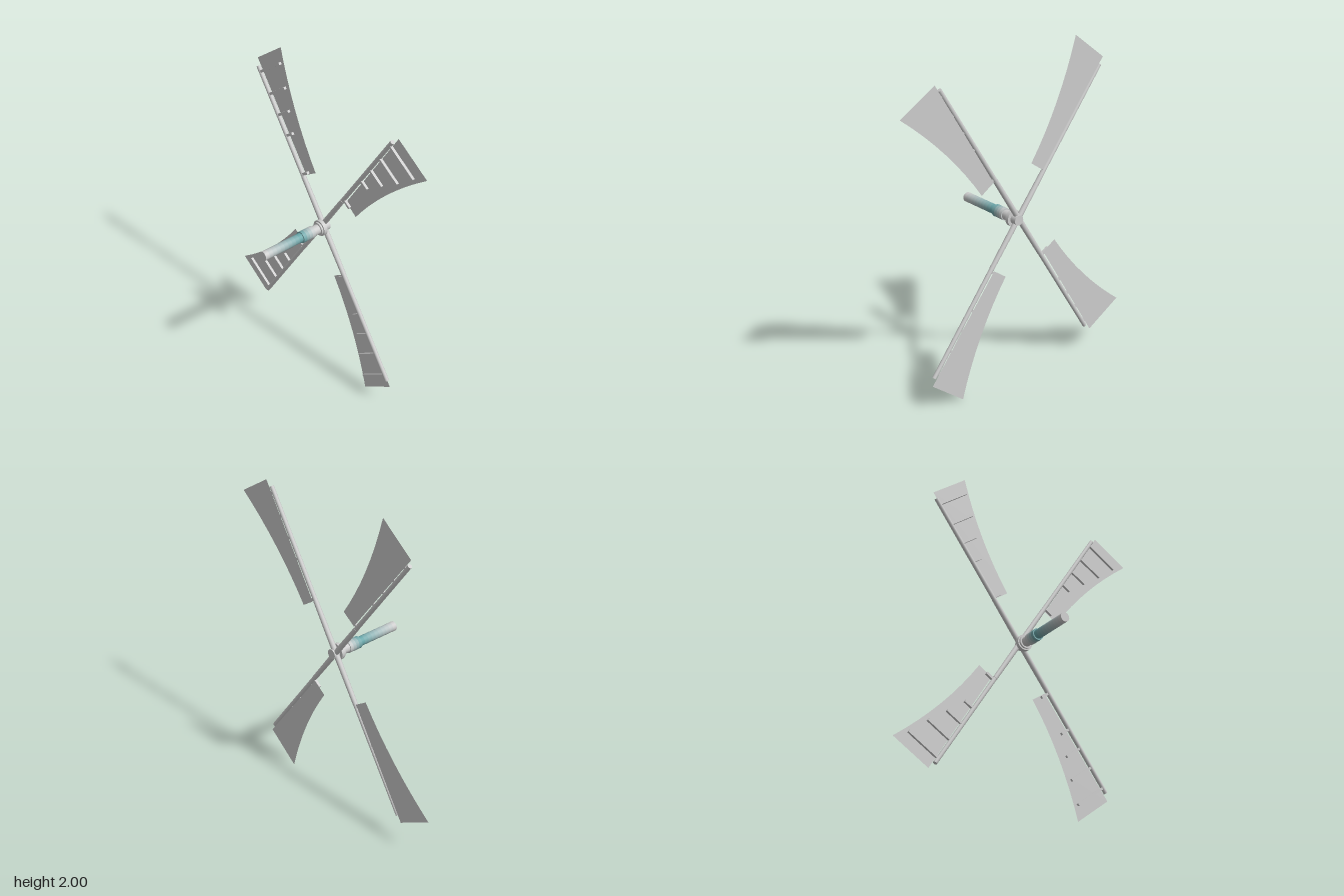
import * as THREE from 'three';

const grey = new THREE.MeshStandardMaterial({ color: 0xcccccc });
const thin = new THREE.MeshStandardMaterial({ color: 0xcccccc, side: THREE.DoubleSide });
const ARM_Z = -0.217;

function add(parent, name, geometry, material = grey) {
  const mesh = new THREE.Mesh(geometry, material);
  mesh.name = name;
  parent.add(mesh);
  return mesh;
}

// Cylinder lying along z, from zBack to zFront
function axial(parent, name, radius, zBack, zFront, material = grey, open = false) {
  const geo = new THREE.CylinderGeometry(radius, radius, zFront - zBack, 20, 1, open);
  geo.rotateX(Math.PI / 2).translate(0, 0, (zBack + zFront) / 2);
  return add(parent, name, geo, material);
}

// One arm along local +y, with its sail on the +x side
function makeBlade() {
  const blade = new THREE.Group();
  blade.name = 'blade';

  add(blade, 'armInner', new THREE.CylinderGeometry(0.0145, 0.0165, 0.31, 12).translate(0, 0.155, 0));
  add(blade, 'armOuter', new THREE.CylinderGeometry(0.0125, 0.0135, 0.69, 12).translate(0, 0.65, 0));

  // Flat sail with a concave free edge
  const outline = new THREE.Shape();
  outline.moveTo(0.018, 0.314);
  outline.lineTo(0.118, 0.31);
  outline.quadraticCurveTo(0.135, 0.675, 0.274, 1.04);
  outline.lineTo(0.012, 1.04);
  add(blade, 'sail', new THREE.ShapeGeometry(outline, 8), thin).position.z = -0.009;

  // Cross bars: distance along the arm, reach
  const bars = [[0.325, 0.06], [0.566, 0.067], [0.693, 0.118], [0.822, 0.173], [0.959, 0.221]];
  for (const [y, reach] of bars) {
    add(blade, 'crossBar', new THREE.BoxGeometry(reach, 0.015, 0.016).translate(reach / 2, y, 0.001));
  }
  return blade;
}

export function createModel() {
  const model = new THREE.Group();
  model.name = 'windmillSails';

  // Two crossing beams, each a pair of opposite blades
  for (const [x, y, degrees] of [[-0.004, 1.016, 57.6], [0.002, 1.004, 126.7]]) {
    for (const turn of [0, 180]) {
      const blade = makeBlade();
      blade.position.set(x, y, ARM_Z);
      blade.rotation.z = THREE.MathUtils.degToRad(degrees + turn - 90);
      model.add(blade);
    }
  }

  // Hub and stepped axle
  const axle = new THREE.Group();
  axle.name = 'axle';
  axle.position.set(0.007, 1.009, 0);
  model.add(axle);
  axial(axle, 'hub', 0.03, -0.239, -0.195);
  axial(axle, 'flange', 0.049, -0.199, -0.176);
  axial(axle, 'flangeStep', 0.04, -0.176, -0.165);
  axial(axle, 'neck', 0.03, -0.165, -0.12);

  // Colour fades from grey to teal around the collar's front and back to grey
  const pale = new THREE.Color(0xcccccc);
  const teal = new THREE.Color(0x5fa3a6);
  const tinted = (t) => new THREE.MeshStandardMaterial({ color: pale.clone().lerp(teal, t) });
  const collarSteps = 4;
  for (let i = 0; i < collarSteps; i++) {
    const z = -0.123 + (0.085 * i) / collarSteps;
    axial(axle, 'collar', 0.036, z, z + 0.085 / collarSteps, tinted((i + 0.5) / collarSteps));
  }
  const shaftSteps = 10;
  for (let i = 0; i < shaftSteps; i++) {
    const z = -0.038 + (0.273 * i) / shaftSteps;
    axial(axle, 'shaft', 0.0285, z, z + 0.273 / shaftSteps, tinted(1 - (i + 0.5) / shaftSteps));
  }
  return model;
}
